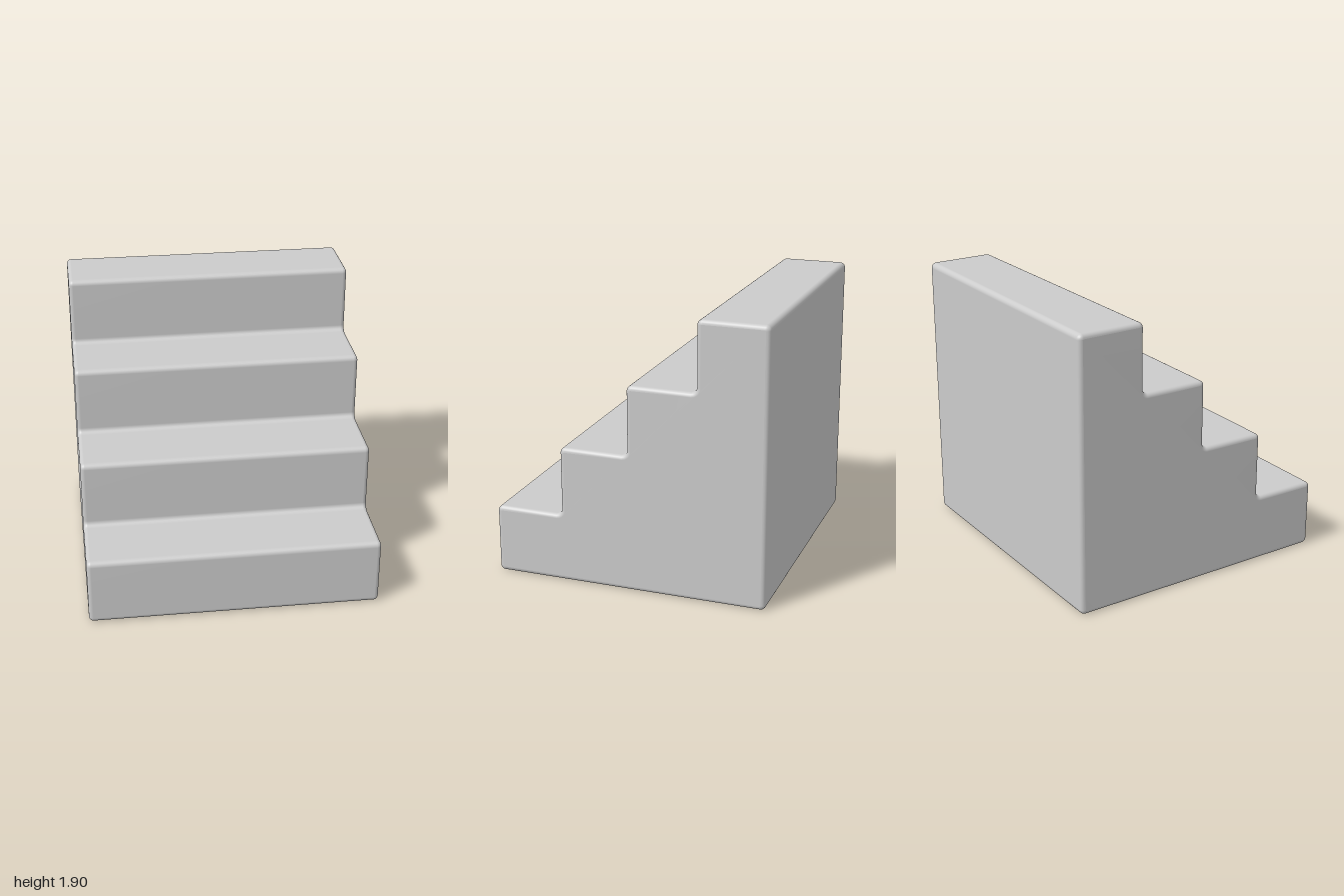
import * as THREE from 'three';
import { mergeVertices } from 'three/addons/utils/BufferGeometryUtils.js';

const STEPS = 4, WIDTH = 2, SIZE = 1.905, RADIUS = 0.036, BEVEL = 0.03;

// Closed outline whose axis-aligned corners, convex or concave, become arcs
function roundedShape(points, r) {
  const shape = new THREE.Shape();
  points.forEach((p, i) => {
    const before = points[(i + points.length - 1) % points.length];
    const after = points[(i + 1) % points.length];
    const din = p.clone().sub(before).normalize();
    const dout = after.clone().sub(p).normalize();
    const c = p.clone().addScaledVector(din, -r).addScaledVector(dout, r);
    shape.absarc(c.x, c.y, r, Math.atan2(-dout.y, -dout.x), Math.atan2(din.y, din.x), din.cross(dout) < 0);
  });
  shape.closePath();
  return shape;
}

export function createModel() {
  // Side profile: x is depth (front positive), y is height
  const half = SIZE / 2, step = SIZE / STEPS;
  const points = [new THREE.Vector2(-half, 0), new THREE.Vector2(half, 0)];
  for (let i = 0; i < STEPS; i++) {
    const z = half - i * step, y = (i + 1) * step;
    points.push(new THREE.Vector2(z, y));
    points.push(new THREE.Vector2(i === STEPS - 1 ? -half : z - step, y));
  }

  // Solid staircase with rounded side edges
  const depth = WIDTH - 2 * BEVEL;
  let geometry = new THREE.ExtrudeGeometry(roundedShape(points, RADIUS), {
    depth, curveSegments: 6, bevelEnabled: true, bevelSegments: 5,
    bevelThickness: BEVEL, bevelSize: BEVEL, bevelOffset: -BEVEL,
  });
  geometry.translate(0, 0, -depth / 2);
  geometry.rotateY(-Math.PI / 2);

  // Weld for smooth, area-weighted normals
  geometry.deleteAttribute('uv');
  geometry.deleteAttribute('normal');
  geometry = mergeVertices(geometry, 1e-4);
  geometry.computeVertexNormals();

  const stairs = new THREE.Mesh(geometry, new THREE.MeshStandardMaterial({ color: 0xcccccc }));
  stairs.name = 'stairs';
  const group = new THREE.Group();
  group.name = 'staircaseBlock';
  group.add(stairs);
  return group;
}
